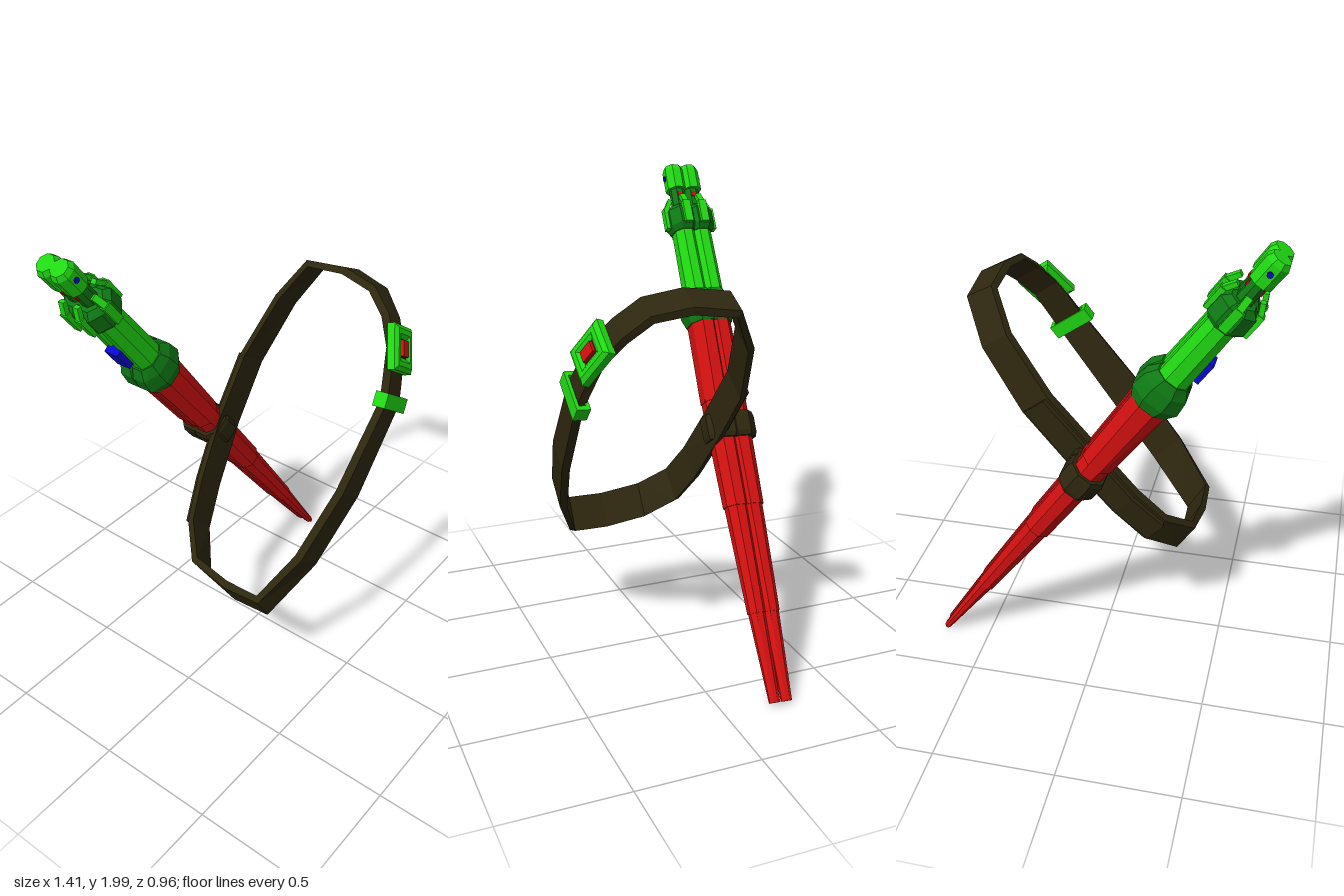
import * as THREE from 'three';

const mat = (name, color) => {
  const m = new THREE.MeshStandardMaterial({ color, flatShading: true });
  m.name = name;
  return m;
};

export function createModel() {
  const red = mat('red', 0xd01010);
  const green = mat('brightGreen', 0x20d812);
  const darkGreen = mat('darkGreen', 0x0f7a14);
  const blue = mat('blue', 0x0808d0);
  const brown = mat('brownLeather', 0x2e270f);

  const model = new THREE.Group();
  model.name = 'swordAndBelt';
  const add = (parent, name, geo, m, x = 0, y = 0, z = 0) => {
    const mesh = new THREE.Mesh(geo, m);
    mesh.name = name;
    mesh.position.set(x, y, z);
    parent.add(mesh);
    return mesh;
  };
  const box = (w, h, d) => new THREE.BoxGeometry(w, h, d);

  // Twin sword: local y runs from the scabbard tip to the pommel
  const sword = new THREE.Group();
  sword.name = 'twinSword';
  const Y = new THREE.Vector3(-1.37, 1.96, -0.136).normalize();
  const X = new THREE.Vector3(0.82, 0.573, 0).normalize();
  const Z = new THREE.Vector3().crossVectors(X, Y);
  sword.quaternion.setFromRotationMatrix(new THREE.Matrix4().makeBasis(X, Y, Z));
  sword.position.set(0.695, 0.01, -0.238);
  model.add(sword);

  // A pair of eight-sided lobes; each ring is [height, half width, lobe depth, lobe offset]
  const lobes = (name, m, rings) => {
    for (const side of [-1, 1]) {
      const n = rings.length - 1;
      const geo = new THREE.CylinderGeometry(1, 1, n, 8, n).rotateY(Math.PI / 8);
      const p = geo.attributes.position, k = 1 / Math.cos(Math.PI / 8);
      for (let i = 0; i < p.count; i++) {
        const [s, a, b, c] = rings[Math.round(p.getY(i) + n / 2)];
        p.setXYZ(i, p.getX(i) * a * k, s, p.getZ(i) * b * k + side * c);
      }
      geo.computeVertexNormals();
      add(sword, name, geo, m);
    }
  };

  lobes('scabbardTip', red, [[0, 0.014, 0.022, 0.026], [0.356, 0.031, 0.033, 0.03]]);
  lobes('scabbardLower', red, [[0.356, 0.035, 0.036, 0.03], [0.8, 0.049, 0.046, 0.032]]);
  lobes('scabbardMiddle', red, [[0.8, 0.054, 0.05, 0.033], [1.27, 0.061, 0.058, 0.035]]);
  lobes('scabbardUpper', red, [[1.26, 0.065, 0.06, 0.036], [1.64, 0.077, 0.055, 0.034]]);
  lobes('scabbardCollar', darkGreen,
    [[1.615, 0.078, 0.062, 0.033], [1.66, 0.102, 0.075, 0.033], [1.725, 0.094, 0.072, 0.033], [1.77, 0.066, 0.058, 0.033]]);
  lobes('grip', green, [[1.76, 0.06, 0.048, 0.038], [2.09, 0.054, 0.046, 0.038]]);
  lobes('guard', darkGreen,
    [[2.06, 0.058, 0.05, 0.038], [2.085, 0.078, 0.062, 0.04], [2.16, 0.076, 0.062, 0.04], [2.185, 0.05, 0.046, 0.038]]);
  lobes('neck', darkGreen, [[2.18, 0.032, 0.034, 0.033], [2.3, 0.03, 0.032, 0.033]]);
  lobes('pommel', green, [[2.275, 0.045, 0.044, 0.035], [2.37, 0.047, 0.044, 0.035], [2.392, 0.036, 0.036, 0.035]]);

  // Claws around the guard, bent inward at the top
  const claw = (x, z, angle) => {
    const g = new THREE.Group();
    g.name = 'guardClaw';
    g.position.set(x, 2.08, z);
    g.rotation.y = angle;
    add(g, 'clawBase', box(0.025, 0.1, 0.035), green, 0, 0.05, 0);
    add(g, 'clawTip', box(0.02, 0.065, 0.026), green, -0.012, 0.115, 0).rotation.z = 0.5;
    sword.add(g);
  };
  for (const z of [-0.038, 0.038]) {
    claw(0.083, z, 0);
    claw(-0.083, z, Math.PI);
  }
  claw(0, 0.105, -Math.PI / 2);
  claw(0, -0.105, Math.PI / 2);

  // Small red marks, blue grip stud and pommel studs
  for (const z of [-0.033, 0.033]) {
    for (const x of [-0.032, 0.032]) add(sword, 'neckMark', box(0.008, 0.022, 0.022), red, x, 2.245, z);
  }
  add(sword, 'gripStud', box(0.04, 0.1, 0.07), blue, -0.064, 1.855, 0);
  for (const z of [-0.08, 0.08]) {
    add(sword, 'pommelStud', new THREE.CylinderGeometry(0.012, 0.012, 0.008, 8).rotateX(Math.PI / 2), blue, 0, 2.335, z);
  }

  // Leather band holding the scabbard
  lobes('scabbardBand', brown, [[1.09, 0.07, 0.07, 0.034], [1.11, 0.08, 0.076, 0.034], [1.18, 0.082, 0.076, 0.034], [1.2, 0.074, 0.072, 0.034]]);

  // Belt stations: x, y, z, tilt of the width in degrees, width
  const stations = [
    [-0.345, 0.495, 0.29, -60, 0.155], [-0.18, 0.68, 0.385, -42, 0.165],
    [0.025, 0.92, 0.435, -36, 0.165], [0.278, 1.236, 0.45, -35, 0.135],
    [0.378, 1.415, 0.4, -35, 0.125], [0.44, 1.51, 0.33, -33, 0.125],
    [0.48, 1.585, 0.24, -28, 0.13], [0.5, 1.61, 0.09, -27, 0.135],
    [0.5, 1.585, -0.09, -28, 0.135], [0.42, 1.43, -0.18, -33, 0.14],
    [0.25, 1.2, -0.235, -36, 0.15], [0.07, 0.98, -0.225, -38, 0.155],
    [-0.1, 0.76, -0.195, -42, 0.155], [-0.22, 0.62, -0.155, -48, 0.155],
    [-0.33, 0.52, -0.05, -56, 0.155], [-0.35, 0.49, 0.13, -60, 0.155],
  ];
  const count = stations.length;
  const at = (i) => new THREE.Vector3(...stations[(i + count) % count].slice(0, 3));
  const frame = (i) => {
    const tilt = THREE.MathUtils.degToRad(stations[i][3]);
    const w = new THREE.Vector3(Math.cos(tilt), Math.sin(tilt), 0);
    const t = at(i + 1).sub(at(i)).normalize().add(at(i).sub(at(i - 1)).normalize());
    const n = new THREE.Vector3().crossVectors(w, t).normalize();
    return { p: at(i), w, n };
  };

  // Strap with a slightly bevelled outer face, swept through the given stations
  const strap = (name, ids, scale, inner, outer, closed) => {
    const rings = ids.map((i) => {
      const { p, w, n } = frame(i);
      const h = stations[i][4] * scale / 2;
      return [[outer, 0.86], [inner, 1], [inner, -1], [outer, -0.86]].map(
        ([d, k]) => p.clone().addScaledVector(n, d).addScaledVector(w, k * h));
    });
    const pos = [];
    const quad = (a, b, c, d) => [a, b, c, a, c, d].forEach((v) => pos.push(v.x, v.y, v.z));
    const last = rings.length - 1;
    for (let i = 0; i < (closed ? rings.length : last); i++) {
      const r = rings[i], q = rings[(i + 1) % rings.length];
      for (let j = 0; j < 4; j++) quad(r[j], r[(j + 1) % 4], q[(j + 1) % 4], q[j]);
    }
    if (!closed) {
      quad(...rings[0].slice().reverse());
      quad(...rings[last]);
    }
    const geo = new THREE.BufferGeometry();
    geo.setAttribute('position', new THREE.Float32BufferAttribute(pos, 3));
    geo.computeVertexNormals();
    add(model, name, geo, brown);
  };
  strap('belt', stations.map((_, i) => i), 1, -0.014, 0.016, true);
  strap('hangerTab', [10, 11, 12, 13], 0.75, 0.01, 0.034, false);

  // Fittings lie flat on the belt: x across, y along, z outward
  const fitting = (name, i) => {
    const { p, w, n } = frame(i);
    const g = new THREE.Group();
    g.name = name;
    g.position.copy(p);
    g.quaternion.setFromRotationMatrix(new THREE.Matrix4().makeBasis(w, new THREE.Vector3().crossVectors(n, w), n));
    model.add(g);
    return g;
  };
  const rect = (T, w, h) => new T([[-1, -1], [1, -1], [1, 1], [-1, 1]].map(([x, y]) => new THREE.Vector2(x * w / 2, y * h / 2)));

  // Buckle: sloped frame, leather recess and red plate
  const buckle = fitting('buckle', 4);
  const outline = rect(THREE.Shape, 0.13, 0.15);
  outline.holes.push(rect(THREE.Path, 0.095, 0.11));
  add(buckle, 'buckleFrame', new THREE.ExtrudeGeometry(outline,
    { depth: 0.03, bevelThickness: 0.012, bevelSize: 0.018, bevelSegments: 1 }), green, 0, 0, 0);
  add(buckle, 'buckleRecess', box(0.1, 0.115, 0.026), brown, 0, 0, 0.018);
  add(buckle, 'bucklePlate', box(0.048, 0.065, 0.016), red, 0, 0, 0.036);

  // Keeper loop around the belt
  const keeper = fitting('keeper', 3);
  for (const z of [-0.02, 0.022]) add(keeper, 'keeperBar', box(0.19, 0.062, 0.014), green, 0, 0, z);
  for (const x of [-0.085, 0.085]) add(keeper, 'keeperSide', box(0.02, 0.062, 0.04), green, x, 0, 0);

  return model;
}
